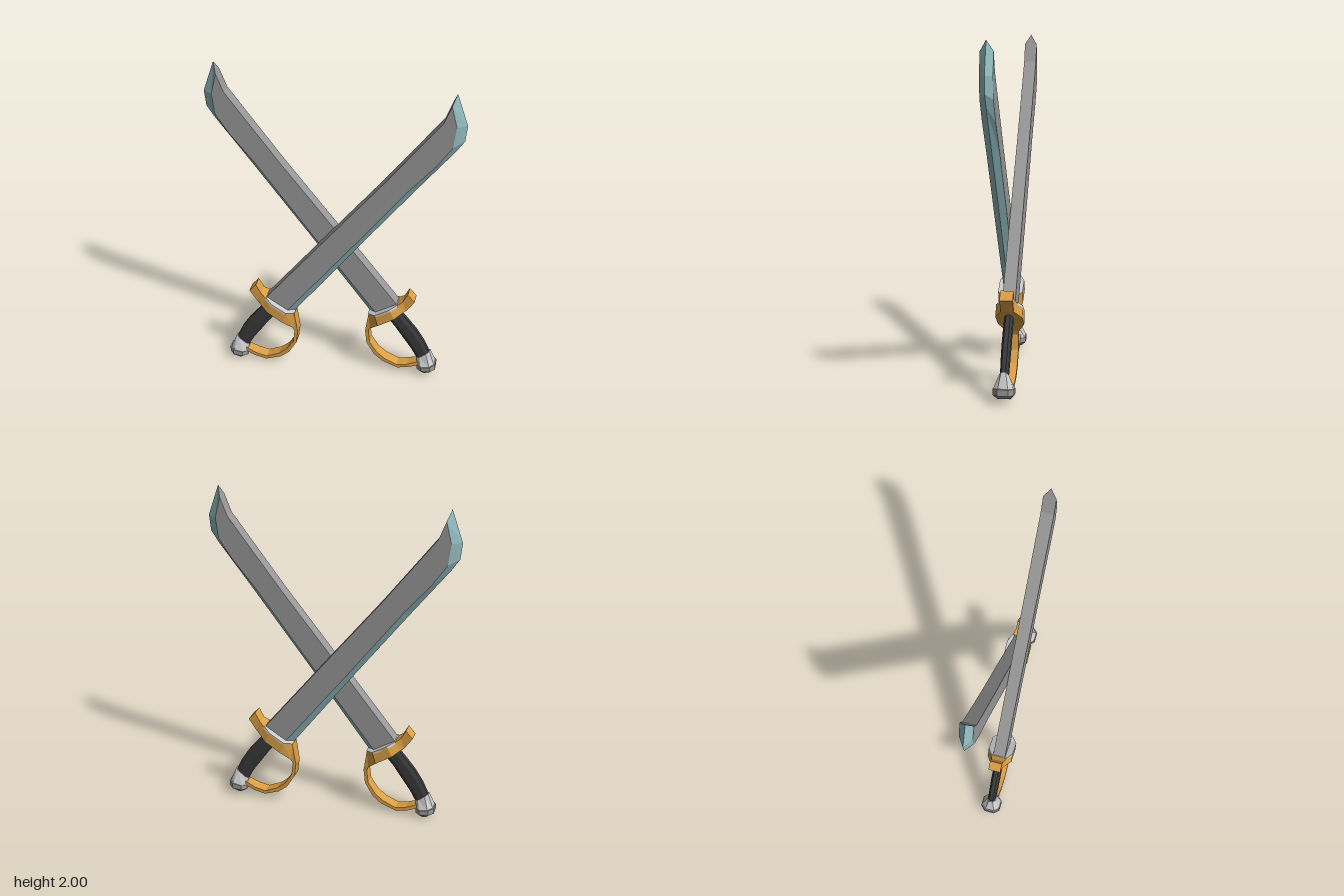
import * as THREE from 'three';

const mat = (color) => new THREE.MeshStandardMaterial({ color, flatShading: true });
const MATS = {
  steel: mat(0x9a9a9a), edge: mat(0x93bcc1), gold: mat(0xdda045),
  grip: mat(0x3a3a3a), pale: mat(0xcccccc),
};

// Cross-sections: u runs from point b (-1) to point a (+1), v runs across the thickness
const RECT = [[1, -1], [1, 1], [-1, 1], [-1, -1]];
const WEDGE = [[1, 0], [-1, 1], [-1, -1]];
const OCTAGON = [[1, -0.5], [1, 0.5], [0.5, 1], [-0.5, 1], [-1, 0.5], [-1, -0.5], [-0.5, -1], [0.5, -1]];

// Joins stations [ax, ay, bx, by, halfThickness] into a faceted solid
function loft(name, material, section, stations, caps = true) {
  const rings = stations.map(([ax, ay, bx, by, h]) => section.map(([u, v]) => [
    (ax + bx) / 2 + u * (ax - bx) / 2, (ay + by) / 2 + u * (ay - by) / 2, v * h,
  ]));
  const [s, t] = stations;
  const dx = t[0] + t[2] - s[0] - s[2], dy = t[1] + t[3] - s[1] - s[3];
  const flip = (s[1] - s[3]) * dx - (s[0] - s[2]) * dy < 0;
  const pos = [];
  const tri = (a, b, c) => pos.push(...a, ...(flip ? c : b), ...(flip ? b : c));
  const n = section.length;
  for (let i = 0; i < rings.length - 1; i++) {
    for (let j = 0; j < n; j++) {
      const k = (j + 1) % n, p = rings[i], q = rings[i + 1];
      tri(p[j], p[k], q[k]);
      tri(p[j], q[k], q[j]);
    }
  }
  if (caps) {
    const first = rings[0], last = rings[rings.length - 1];
    for (let j = 1; j < n - 1; j++) {
      tri(first[0], first[j + 1], first[j]);
      tri(last[0], last[j], last[j + 1]);
    }
  }
  const geo = new THREE.BufferGeometry();
  geo.setAttribute('position', new THREE.Float32BufferAttribute(pos, 3));
  geo.computeVertexNormals();
  const mesh = new THREE.Mesh(geo, material);
  mesh.name = name;
  return mesh;
}

function makeSword(name) {
  const sword = new THREE.Group();
  sword.name = name;

  // Blade rows: spine point, bevel start, cutting edge
  const H = 0.037;
  const rows = [
    [-0.41, 0.49, -0.28, 0.41, -0.235, 0.40],
    [0.0, 1.01, 0.115, 0.925, 0.16, 0.93],
    [0.31, 1.40, 0.45, 1.37, 0.50, 1.378],
    [0.53, 1.69, 0.60, 1.55, 0.70, 1.637],
    [0.59, 1.77, 0.685, 1.675, 0.745, 1.705],
    [0.627, 1.818, 0.70, 1.80, 0.755, 1.80],
    [0.668, 1.925, 0.668, 1.925, 0.69, 1.985],
  ];
  const body = rows.map(([sx, sy, fx, fy]) => [sx, sy, fx, fy, H]);
  body.push([0.69, 1.985, 0.69, 1.985, 0]);
  sword.add(loft('blade', MATS.steel, RECT, body));
  sword.add(loft('cuttingEdge', MATS.edge, WEDGE,
    rows.map(([, , fx, fy, rx, ry]) => [rx, ry, fx, fy, H]), false));

  // Guard: curled end, wide plate, then the knuckle bow sweeping to the pommel
  const plate = [
    [-0.40, 0.505, -0.43, 0.45, 0.05],
    [-0.36, 0.48, -0.39, 0.42, 0.076],
    [-0.27, 0.425, -0.29, 0.355, 0.076],
    [-0.225, 0.41, -0.235, 0.30, 0.04],
  ];
  sword.add(loft('guard', MATS.gold, RECT, [
    [-0.463, 0.588, -0.505, 0.54, 0.037],
    [-0.432, 0.53, -0.455, 0.467, 0.037],
    ...plate,
    [-0.205, 0.275, -0.225, 0.275, 0.036],
    [-0.215, 0.185, -0.235, 0.19, 0.036],
    [-0.265, 0.10, -0.28, 0.12, 0.036],
    [-0.32, 0.055, -0.33, 0.078, 0.036],
    [-0.415, 0.02, -0.41, 0.042, 0.036],
    [-0.485, 0.035, -0.475, 0.055, 0.036],
    [-0.56, 0.065, -0.55, 0.088, 0.03],
  ]));

  // Pale facing on the blade side of the plate
  sword.add(loft('guardFacing', MATS.pale, RECT, plate.map(([x, y, , , h]) =>
    [x + 0.003, y + 0.004, x - 0.006, y - 0.008, h])));

  // Curved grip
  sword.add(loft('grip', MATS.grip, OCTAGON, [
    [-0.39, 0.465, -0.315, 0.405, 0.023],
    [-0.455, 0.39, -0.385, 0.325, 0.025],
    [-0.52, 0.31, -0.45, 0.23, 0.025],
    [-0.57, 0.23, -0.495, 0.165, 0.024],
    [-0.607, 0.15, -0.533, 0.095, 0.022],
  ]));

  // Pommel: flared collar and faceted butt
  sword.add(loft('pommelCollar', MATS.pale, OCTAGON, [
    [-0.609, 0.163, -0.53, 0.10, 0.026],
    [-0.642, 0.078, -0.537, 0.055, 0.056],
  ]));
  sword.add(loft('pommelButt', MATS.steel, OCTAGON, [
    [-0.65, 0.077, -0.536, 0.058, 0.06],
    [-0.65, 0.04, -0.536, 0.03, 0.06],
    [-0.618, 0.016, -0.575, 0.001, 0.035],
  ]));
  return sword;
}

export function createModel() {
  const model = new THREE.Group();
  model.name = 'crossedSwords';

  const front = makeSword('frontSword');
  front.position.set(0, 0, 0.039);

  // Turned half round, so it crosses behind the first
  const back = makeSword('backSword');
  back.rotation.y = Math.PI;
  back.position.set(0, 0.015, -0.039);

  model.add(front, back);
  return model;
}
